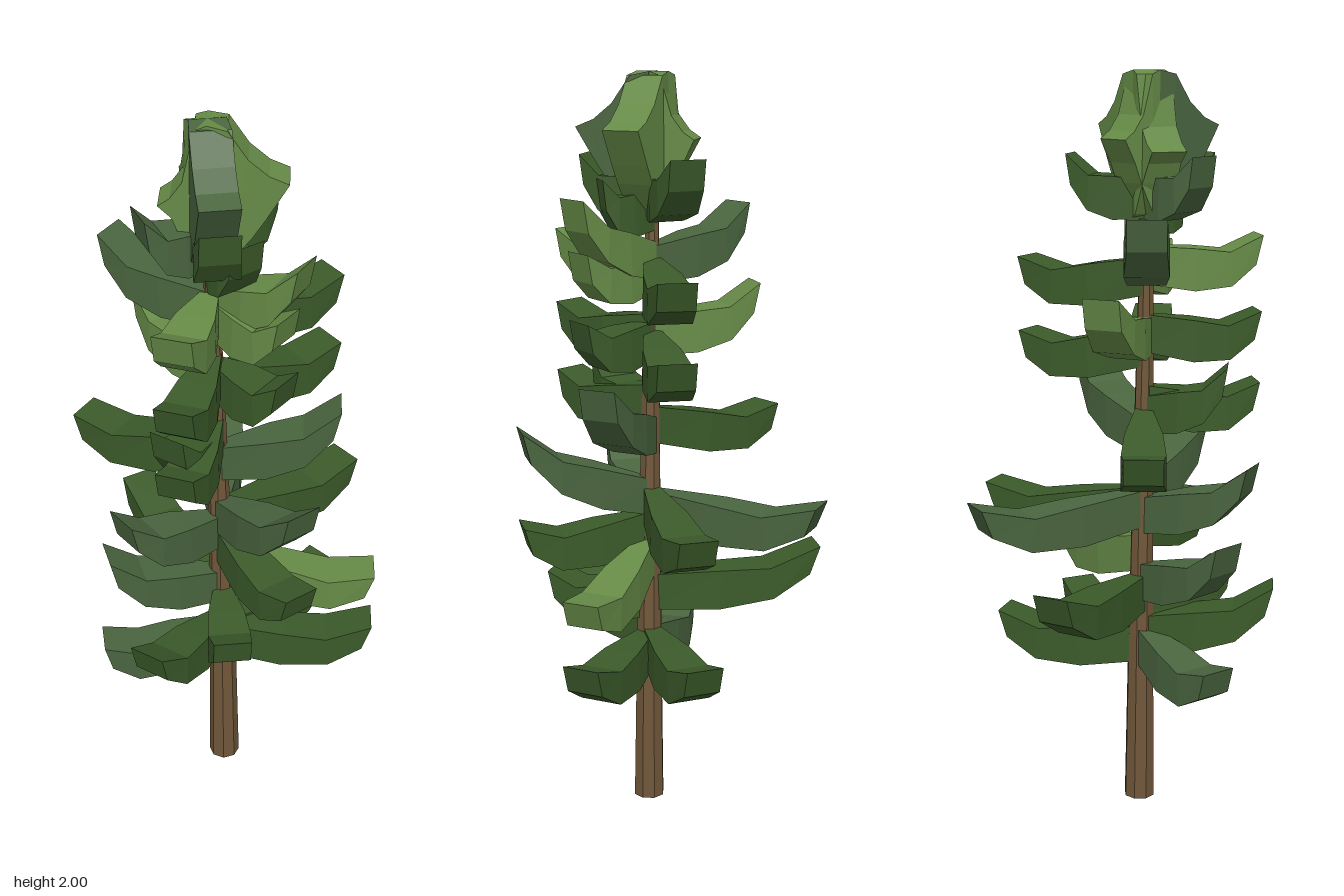
import * as THREE from 'three';

const TRUNK_Z = 0.08;
const trunkX = (y) => -0.045 * Math.pow(Math.max(y, 0) / 2, 1.5);

const greens = [0x3b5a2a, 0x4a653f, 0x668b47].map(
  (color) => new THREE.MeshStandardMaterial({ color, flatShading: true }));
const bark = new THREE.MeshStandardMaterial({ color: 0x70573a, flatShading: true });

// Bent slab growing outward along +x. Each section: [rTop, yTop, rBottom, yBottom, width]
function slab(sections, material, name) {
  const n = sections.length - 1;
  const geo = new THREE.BoxGeometry(n, 2, 1, n, 1, 1);
  const p = geo.attributes.position;
  for (let i = 0; i < p.count; i++) {
    const [rT, yT, rB, yB, w] = sections[Math.round(p.getX(i) + n / 2)];
    const top = p.getY(i) > 0;
    p.setXYZ(i, top ? rT : rB, top ? yT : yB, p.getZ(i) * w);
  }
  const flat = geo.toNonIndexed();
  flat.computeVertexNormals();
  const mesh = new THREE.Mesh(flat, material);
  mesh.name = name;
  return mesh;
}

// Place a slab at the trunk axis, pointing at the tip
function aim(mesh, y, tipX, tipZ) {
  mesh.position.set(trunkX(y), 0, TRUNK_Z);
  mesh.rotation.y = Math.atan2(-(tipZ - TRUNK_Z), tipX - trunkX(y));
  return mesh;
}

// Bough: narrow deep root, sagging belly, upturned blunt tip
function bough([tipX, tipZ, rootY, tipTop, shade]) {
  const len = Math.hypot(tipX - trunkX(rootY), tipZ - TRUNK_Z);
  const line = (t) => rootY + (tipTop - 0.04 - rootY) * t;
  const sections = [
    [0, 0.035, 0, -0.065, 0.04],
    [0.42, 0.02, 0.4, -0.09, 0.1],
    [0.7, 0.005, 0.72, -0.085, 0.115],
    [1, 0.04, 0.94, -0.035, 0.1],
  ].map(([a, u, b, d, w]) => [a * len, line(a) + u, b * len, line(b) + d, w]);
  return aim(slab(sections, greens[shade], 'bough'), rootY, tipX, tipZ);
}

// Crown leaf: sweeps down and out from the treetop to a pointed tip
function crownLeaf([tipX, tipZ, tipTop, shade]) {
  const y = 1.8, len = Math.hypot(tipX - trunkX(y), tipZ - TRUNK_Z);
  const sections = [
    [0, 2.0, 0, 1.63, 0.09],
    [0.25 * len, 1.99, 0.2 * len, 1.64, 0.1],
    [0.5 * len, tipTop + 0.06, 0.38 * len, 1.68, 0.1],
    [0.75 * len, tipTop + 0.02, 0.55 * len, 1.72, 0.1],
    [len, tipTop, 0.72 * len, 1.77, 0.1],
  ];
  return aim(slab(sections, greens[shade], 'crownLeaf'), y, tipX, tipZ);
}

export function createModel() {
  const tree = new THREE.Group();
  tree.name = 'pineTree';

  // Slightly leaning tapered trunk
  const trunkGeo = new THREE.CylinderGeometry(0.016, 0.043, 1.8, 8, 5);
  trunkGeo.translate(0, 0.9, 0);
  const p = trunkGeo.attributes.position;
  for (let i = 0; i < p.count; i++) p.setX(i, p.getX(i) + trunkX(p.getY(i)));
  const trunk = new THREE.Mesh(trunkGeo, bark);
  trunk.name = 'trunk';
  trunk.position.z = TRUNK_Z;
  tree.add(trunk);

  // Boughs from bottom to top: tip x, tip z, root height, tip height, shade
  const boughs = [
    [-0.335, 0.14, 0.47, 0.47, 1],
    [0.275, -0.21, 0.47, 0.52, 0],
    [0.41, 0.08, 0.46, 0.525, 0],
    [-0.19, 0.39, 0.5, 0.635, 0],
    [0.035, 0.355, 0.6, 0.65, 0],
    [-0.27, -0.31, 0.62, 0.72, 0],
    [0.41, 0.078, 0.73, 0.7, 2],
    [-0.31, 0.18, 0.65, 0.8, 1],
    [0.21, 0.355, 0.8, 0.82, 0],
    [0.33, -0.215, 0.87, 0.88, 0],
    [-0.02, -0.41, 0.86, 0.905, 1],
    [-0.255, 0.28, 0.84, 0.99, 1],
    [0.21, 0.355, 0.89, 1.08, 1],
    [-0.39, -0.11, 1.09, 1.08, 0],
    [-0.11, 0.37, 1.15, 1.19, 0],
    [0.3, 0.08, 1.06, 1.23, 1],
    [-0.135, 0.27, 1.12, 1.24, 0],
    [0.27, -0.13, 1.3, 1.31, 0],
    [0.16, 0.2, 1.32, 1.37, 0],
    [-0.11, 0.37, 1.34, 1.38, 0],
    [-0.21, -0.14, 1.33, 1.45, 2],
    [0.27, -0.13, 1.49, 1.51, 0],
    [0.16, 0.2, 1.5, 1.55, 2],
    [-0.11, 0.37, 1.52, 1.58, 2],
    [-0.295, -0.055, 1.52, 1.65, 1],
    [0.2, 0.195, 1.53, 1.69, 2],
    [0.06, 0.19, 1.66, 1.73, 0],
    [-0.2, 0.155, 1.69, 1.79, 1],
    [0.0, 0.26, 1.69, 1.79, 0],
    [0.095, -0.08, 1.69, 1.79, 0],
  ];
  boughs.forEach((b) => tree.add(bough(b)));

  // Crown: tip x, tip z, tip height, shade
  const crown = [
    [0.155, 0.08, 1.86, 2],
    [0.0, 0.27, 1.86, 1],
    [-0.155, 0.08, 1.8, 2],
    [-0.065, -0.035, 1.83, 2],
  ];
  crown.forEach((c) => tree.add(crownLeaf(c)));
  return tree;
}
